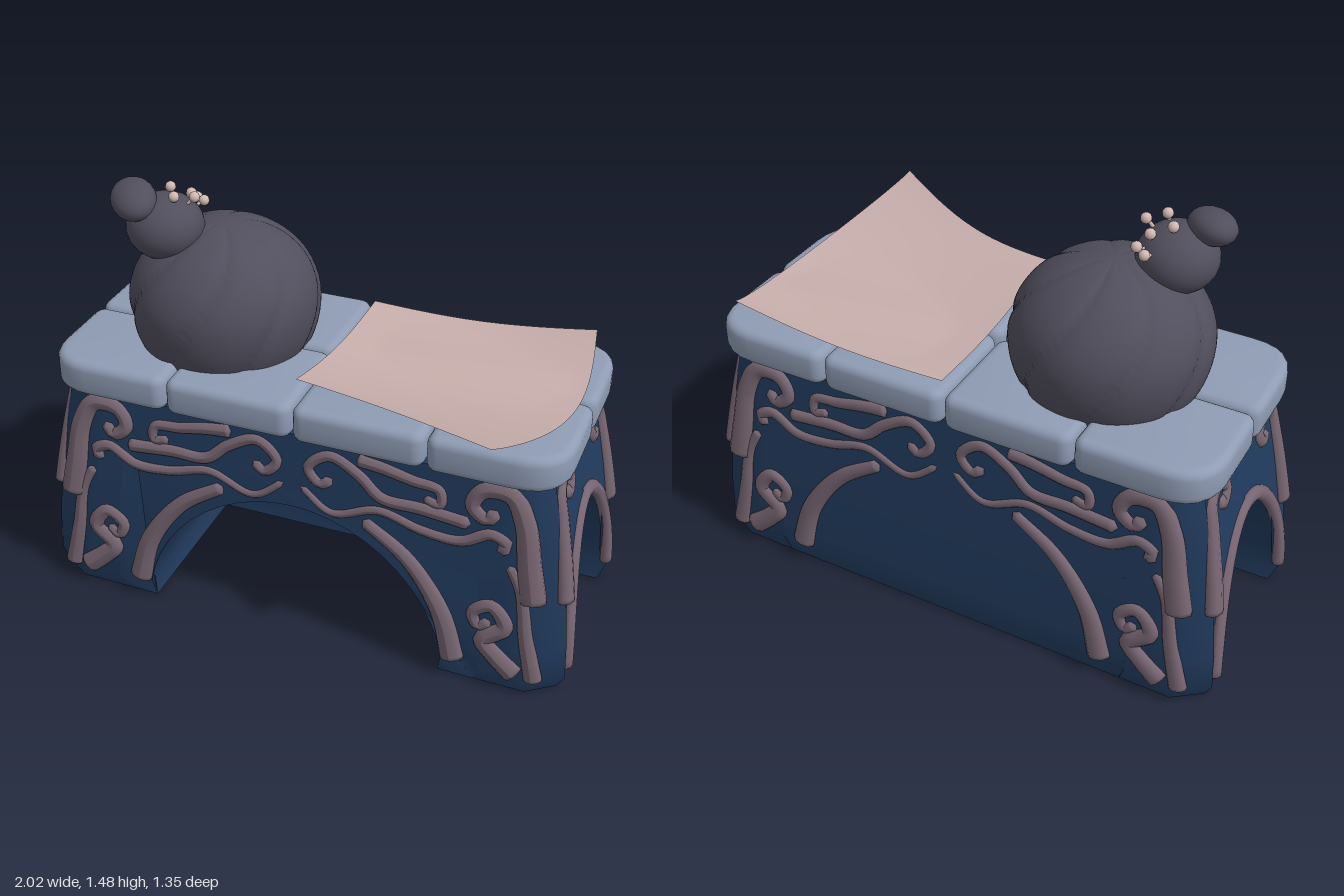
import * as THREE from 'three';
import { toCreasedNormals } from 'three/addons/utils/BufferGeometryUtils.js';

const mat = (name, color, side = THREE.FrontSide) => {
  const m = new THREE.MeshStandardMaterial({ color, side });
  m.name = name;
  return m;
};
const mats = {
  navy: mat('navy wood', 0x213b5e),
  trim: mat('mauve trim', 0x786672),
  stone: mat('pale slate', 0x8f9cb4),
  paper: mat('parchment', 0xc8afac, THREE.DoubleSide),
  dark: mat('charcoal', 0x514e5d),
  bead: mat('bead pink', 0xd3b9b3),
};
const add = (parent, name, geo, material) => {
  const m = new THREE.Mesh(geo, material);
  m.name = name;
  parent.add(m);
  return m;
};

// Half sizes of the desk base, bulging low and narrowing towards the top
const L = 0.95, W = 0.4, INNER = 0.67, TOP = 0.81, FLOOR = 0.01;
const flare = y => y < 0.06 ? 0.965 + 0.58 * y : 1 - 0.11 * Math.pow((y - 0.06) / 0.75, 1.6);
const chamfer = u => Math.max(0, Math.abs(u) - 0.857) * 0.75;

// Slab outline with an arched notch rising from the floor
function archSlab(half, archHalf, archHeight) {
  const s = new THREE.Shape();
  const levels = [FLOOR, 0.06, 0.2, 0.35, 0.5, 0.65, TOP];
  s.moveTo(-half, FLOOR);
  for (let i = 0; i <= 24; i++) {
    const a = Math.PI * (1 - i / 24);
    s.lineTo(archHalf * Math.cos(a), FLOOR + (archHeight - FLOOR) * Math.sin(a));
  }
  levels.forEach(y => s.lineTo(half, y));
  levels.slice(1).reverse().forEach(y => s.lineTo(-half, y));
  return s;
}

// Round off the upright corners, then apply the taper
function shapeBase(geo) {
  const p = geo.attributes.position;
  for (let i = 0; i < p.count; i++) {
    const x = p.getX(i), y = p.getY(i), z = p.getZ(i);
    const lim = W - chamfer(x), f = flare(y);
    p.setXYZ(i, x * f, y, THREE.MathUtils.clamp(z, -lim, lim) * f);
  }
  return toCreasedNormals(geo, 0.8);
}

// Tube whose radius runs from r0 to r1, closed at both ends, flattened along the face normal
function taperTube(points, r0, r1, flat, n = 48, sides = 10) {
  const curve = new THREE.CatmullRomCurve3(points);
  const geo = new THREE.TubeGeometry(curve, n, 1, sides);
  const p = geo.attributes.position, v = new THREE.Vector3();
  for (let i = 0; i <= n; i++) {
    const c = curve.getPointAt(i / n);
    const r = i === 0 || i === n ? 0 : r0 + (r1 - r0) * i / n;
    for (let j = 0; j <= sides; j++) {
      const k = i * (sides + 1) + j;
      v.fromBufferAttribute(p, k).sub(c).multiplyScalar(r).multiply(flat).add(c);
      p.setXYZ(k, v.x, v.y, v.z);
    }
  }
  geo.computeVertexNormals();
  return geo;
}
const flatX = new THREE.Vector3(0.8, 1, 1), flatZ = new THREE.Vector3(1, 1, 0.7);

// Scrollwork of half a long face: name, start radius, end radius, points (u, y)
const scrolls = [
  ['archBand', 0.022, 0.042, [[0.25, 0.55], [0.41, 0.44], [0.53, 0.27], [0.585, 0.08]]],
  ['lowerWave', 0.012, 0.022, [[0.03, 0.625], [0.14, 0.55], [0.3, 0.6], [0.45, 0.565], [0.58, 0.56], [0.68, 0.61], [0.735, 0.58], [0.7, 0.555]]],
  ['upperScroll', 0.018, 0.024, [[0.14, 0.68], [0.1, 0.65], [0.055, 0.7], [0.125, 0.76], [0.23, 0.715], [0.31, 0.65], [0.44, 0.645], [0.61, 0.63]]],
  ['upperLeaf', 0.016, 0.024, [[0.45, 0.685], [0.505, 0.675], [0.5, 0.725], [0.41, 0.74], [0.31, 0.76], [0.22, 0.77]]],
  ['cornerScroll', 0.022, 0.046, [[0.69, 0.7], [0.66, 0.66], [0.61, 0.7], [0.64, 0.76], [0.73, 0.765], [0.78, 0.68], [0.81, 0.52], [0.835, 0.38]]],
  ['footScroll', 0.018, 0.04, [[0.7, 0.28], [0.66, 0.25], [0.64, 0.3], [0.7, 0.34], [0.75, 0.27], [0.68, 0.2], [0.72, 0.15], [0.8, 0.08]]],
  ['cornerLeaf', 0.016, 0.032, [[0.745, 0.51], [0.79, 0.42], [0.82, 0.25], [0.86, 0.07]]],
];
const endScroll = [[0.22, 0.72], [0.19, 0.69], [0.155, 0.73], [0.22, 0.775], [0.285, 0.75], [0.3, 0.65], [0.31, 0.5], [0.32, 0.36]];

function buildBase(desk) {
  // Middle block with the knee hole, closed by the back wall
  const mid = new THREE.ExtrudeGeometry(archSlab(INNER, 0.545, 0.54), { depth: 0.6, bevelEnabled: false });
  mid.translate(0, 0, -0.2);
  add(desk, 'kneeHoleBlock', shapeBase(mid), mats.navy);
  const back = new THREE.BoxGeometry(INNER * 2, TOP - FLOOR, 0.2, 1, 12, 1).translate(0, (TOP + FLOOR) / 2, -0.3);
  add(desk, 'backWall', shapeBase(back.toNonIndexed()), mats.navy);

  for (const s of [-1, 1]) {
    // End block with its own arched recess
    const end = new THREE.ExtrudeGeometry(archSlab(W, 0.29, 0.55), { depth: L - INNER, steps: 3, bevelEnabled: false });
    end.translate(0, 0, INNER).rotateY(s * Math.PI / 2);
    add(desk, 'endBlock', shapeBase(end), mats.navy);

    // Arch rim and corner scrolls of the end face
    const onEnd = (v, y) => new THREE.Vector3(s * (L * flare(y) - 0.004), y, v * flare(y));
    const rim = [];
    for (let i = 0; i <= 16; i++) {
      const a = Math.PI * i / 16;
      rim.push(onEnd(0.3 * Math.cos(a), 0.07 + 0.5 * Math.sin(a)));
    }
    add(desk, 'endArchRim', taperTube(rim, 0.027, 0.027, flatX), mats.trim);
    for (const m of [-1, 1])
      add(desk, 'endScroll', taperTube(endScroll.map(([v, y]) => onEnd(m * v, y)), 0.022, 0.038, flatX), mats.trim);

    // Scrollwork on the front and back faces
    for (const face of [-1, 1])
      for (const [name, r0, r1, pts] of scrolls) {
        const path = pts.map(([u, y]) => {
          const f = flare(y);
          return new THREE.Vector3(s * u, y, face * (W - chamfer(u / f)) * f);
        });
        add(desk, name, taperTube(path, r0, r1, flatZ), mats.trim);
      }
  }
}

// Slate top: four by two cushioned slabs, the outermost corners rounded off
function buildTop(desk) {
  const b = 0.03, w = 0.449, d = 0.398, gap = 0.003;
  for (let i = 0; i < 4; i++)
    for (let j = 0; j < 2; j++) {
      const x0 = (i - 2) * w + gap + b, x1 = x0 + w - 2 * (gap + b);
      const y0 = (j - 1) * d + gap + b, y1 = y0 + d - 2 * (gap + b);
      const c = (ci, cj) => i === ci && j === cj ? 0.13 : 0.012;
      const k = [c(0, 0), c(3, 0), c(3, 1), c(0, 1)];
      const s = new THREE.Shape();
      s.moveTo(x0 + k[0], y0);
      s.lineTo(x1 - k[1], y0);
      s.quadraticCurveTo(x1, y0, x1, y0 + k[1]);
      s.lineTo(x1, y1 - k[2]);
      s.quadraticCurveTo(x1, y1, x1 - k[2], y1);
      s.lineTo(x0 + k[3], y1);
      s.quadraticCurveTo(x0, y1, x0, y1 - k[3]);
      s.lineTo(x0, y0 + k[0]);
      s.quadraticCurveTo(x0, y0, x0 + k[0], y0);
      const geo = new THREE.ExtrudeGeometry(s, { depth: 0.125 - 2 * b, bevelSize: b, bevelThickness: b, bevelSegments: 4, curveSegments: 6 });
      geo.rotateX(Math.PI / 2).translate(0, 0.927 - b, 0);
      add(desk, 'topSlab', toCreasedNormals(geo, 0.9), mats.stone);
    }
}

// Body of broad twisted lobes, a head knob and a cap
function buildGourd(group) {
  const geo = new THREE.SphereGeometry(1, 112, 56);
  const p = geo.attributes.position;
  for (let i = 0; i < p.count; i++) {
    const x = p.getX(i), y = p.getY(i), z = p.getZ(i);
    const a = Math.atan2(z, x) + 0.6 * y;
    const furrow = Math.pow(1 - Math.abs(Math.sin(a * 3.5)), 3);
    const r = 1 - 0.045 * furrow * Math.sqrt(Math.max(0, 1 - y * y));
    p.setXYZ(i, x * r * 0.326, y * r * (y > 0 ? 0.275 : 0.34), z * r * 0.326);
  }
  geo.computeVertexNormals();
  add(group, 'gourdBody', geo, mats.dark).position.set(-0.385, 1.065, -0.175);

  const head = add(group, 'gourdHead', new THREE.SphereGeometry(0.13, 32, 20), mats.dark);
  head.position.set(-0.565, 1.335, -0.12);
  head.scale.y = 0.85;
  const cap = add(group, 'gourdCap', new THREE.SphereGeometry(1, 24, 16), mats.dark);
  cap.position.set(-0.657, 1.435, -0.09);
  cap.scale.set(0.075, 0.056, 0.1);
  cap.rotation.set(0.2, 0.45, 0.1);

  // Beads on short stalks
  for (const q of [[-0.55, 1.455, -0.16], [-0.48, 1.39, -0.235], [-0.485, 1.43, -0.175],
    [-0.45, 1.395, -0.2], [-0.46, 1.445, -0.11], [-0.52, 1.455, -0.08]]) {
    const tip = new THREE.Vector3(...q);
    add(group, 'bead', new THREE.SphereGeometry(0.018, 12, 8), mats.bead).position.copy(tip);
    const root = tip.clone().lerp(head.position, 0.6);
    add(group, 'beadStalk', new THREE.TubeGeometry(new THREE.LineCurve3(root, tip), 1, 0.006, 6), mats.bead);
  }
}

// Curling sheet spanned between four corners, sagging most along its right edge
function buildSheet(group) {
  const [a, b, c, d] = [[0.1, 0.95, -0.41], [0.87, 1.0, -0.22], [0.55, 1.08, 0.665], [-0.07, 1.02, 0.27]]
    .map(q => new THREE.Vector3(...q));
  const geo = new THREE.PlaneGeometry(1, 1, 28, 28).rotateX(-Math.PI / 2);
  const p = geo.attributes.position;
  for (let i = 0; i < p.count; i++) {
    const s = p.getX(i) + 0.5, t = p.getZ(i) + 0.5;
    const v = a.clone().lerp(b, s).lerp(d.clone().lerp(c, s), t);
    const hs = Math.sin(Math.PI * s), ht = Math.max(0, Math.sin(Math.PI * t));
    v.x += 0.085 * ht * s;
    v.z -= 0.05 * hs * t;
    v.y -= 0.03 * ht + 0.025 * hs + 0.07 * s * Math.pow(ht, 0.8);
    p.setXYZ(i, v.x, Math.max(v.y, 0.936 + 0.006 * s * ht * Math.sin(t * 17 + s * 4)), v.z);
  }
  geo.computeVertexNormals();
  add(group, 'parchmentSheet', geo, mats.paper);
}

export function createModel() {
  const model = new THREE.Group();
  model.name = 'deskWithGourd';
  const desk = new THREE.Group();
  desk.name = 'desk';
  desk.rotation.y = -0.235;
  desk.position.z = -0.08;
  model.add(desk);
  buildBase(desk);
  buildTop(desk);
  buildGourd(model);
  buildSheet(model);
  return model;
}
